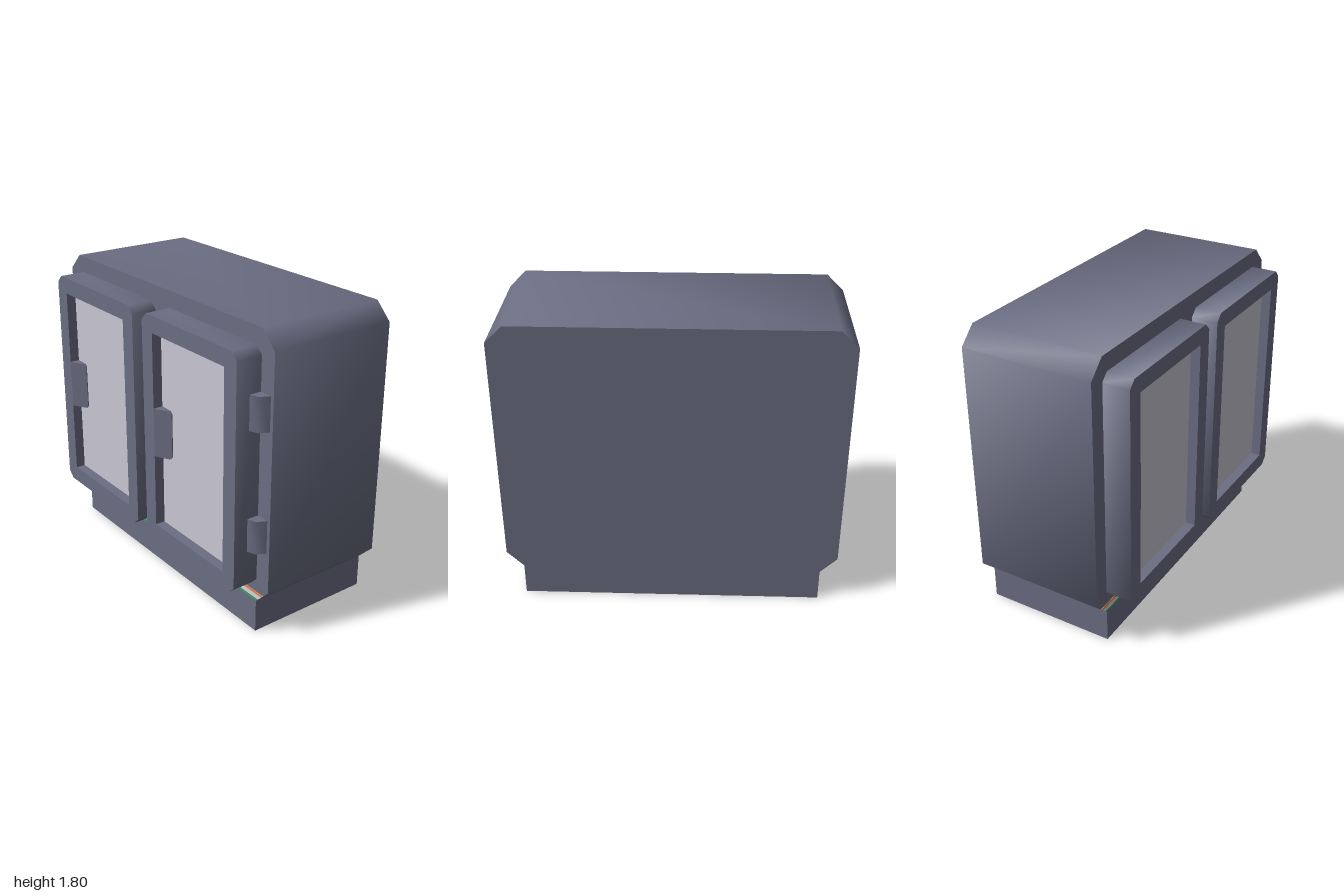
import * as THREE from 'three';
import { toCreasedNormals } from 'three/addons/utils/BufferGeometryUtils.js';

const BACK = -0.48, FRONT = 0.32, DOOR_FRONT = 0.48, GLASS_Z = 0.42;

function material(name, color) {
  const m = new THREE.MeshStandardMaterial({ color });
  m.name = name;
  return m;
}

function polygon(points) {
  return new THREE.Shape(points.map(([x, y]) => new THREE.Vector2(x, y)));
}

// Rectangle with cut corners
function chamferedRect(x0, x1, y0, y1, c) {
  return polygon([
    [x0 + c, y0], [x1 - c, y0], [x1, y0 + c], [x1, y1 - c],
    [x1 - c, y1], [x0 + c, y1], [x0, y1 - c], [x0, y0 + c],
  ]);
}

// Extrusion with soft 45 degree corners and sharp 90 degree ones
function extrude(shape, depth) {
  return toCreasedNormals(new THREE.ExtrudeGeometry(shape, { depth, bevelEnabled: false }), Math.PI / 3);
}

function add(parent, name, geometry, mat, x = 0, y = 0, z = 0) {
  const mesh = new THREE.Mesh(geometry, mat);
  mesh.name = name;
  mesh.position.set(x, y, z);
  parent.add(mesh);
  return mesh;
}

export function createModel() {
  const group = new THREE.Group();
  group.name = 'cabinet';
  const metal = material('slateMetal', 0x6b6e83);
  const glass = material('paleGlass', 0xc9c7d2);
  const orange = material('orangePaint', 0xdd8a55);
  const white = material('whitePaint', 0xd6d6dc);
  const green = material('greenPaint', 0x3f9a6c);
  const depth = FRONT - BACK;

  // Cabinet body and plinth
  add(group, 'body', extrude(chamferedRect(-1, 1, 0.2, 1.8, 0.1), depth), metal, 0, 0, BACK);
  add(group, 'base', new THREE.BoxGeometry(1.8, 0.2, depth), metal, 0, 0.1, (FRONT + BACK) / 2);

  // Painted stripes following the slanted lower corners
  const stripes = [
    ['greenStripe', 0.203, 0.22, green],
    ['whiteStripe', 0.22, 0.247, white],
    ['orangeStripe', 0.247, 0.263, orange],
  ];
  for (const [name, y0, y1, mat] of stripes) {
    const a = 0.7 + y0, b = 0.7 + y1;
    add(group, name, extrude(polygon([[-a, y0], [a, y0], [b, y1], [-b, y1]]), 0.003), mat, 0, 0, FRONT);
  }

  // Door frame with window opening, relative to the door centre
  const frameShape = chamferedRect(-0.425, 0.425, 0.3, 1.7, 0.043);
  frameShape.holes.push(polygon([[-0.325, 0.4], [-0.325, 1.6], [0.325, 1.6], [0.325, 0.4]]));
  const frameGeo = extrude(frameShape, DOOR_FRONT - FRONT);
  const glassGeo = new THREE.BoxGeometry(0.65, 1.2, 0.02);

  // Handle: plate sloping from the frame edge down to the glass
  const handleGeo = new THREE.ExtrudeGeometry(
    polygon([[0, 0.85], [0.085, 0.85], [0.1, 0.865], [0.1, 1.135], [0.085, 1.15], [0, 1.15]]),
    { depth: 1, bevelEnabled: false });
  const p = handleGeo.attributes.position;
  for (let i = 0; i < p.count; i++) {
    if (p.getZ(i) > 0.5) p.setZ(i, 0.06 - p.getX(i) * 0.55);
  }
  handleGeo.computeVertexNormals();

  // Hinge: faceted quarter round standing upright
  const hingeGeo = extrude(
    polygon([[0, -FRONT], [0.078, -FRONT], [0.052, -0.373], [0, -0.393]]), 0.2);
  hingeGeo.rotateX(-Math.PI / 2);

  for (const side of [-1, 1]) {
    const door = new THREE.Group();
    door.name = side > 0 ? 'leftDoor' : 'rightDoor';
    door.position.x = side * 0.475;
    group.add(door);
    add(door, 'doorFrame', frameGeo, metal, 0, 0, FRONT);
    add(door, 'window', glassGeo, glass, 0, 1, GLASS_Z - 0.01);
    add(door, 'handle', handleGeo, metal, -0.325, 0, GLASS_Z);
    for (const y of [0.545, 1.26]) add(door, 'hinge', hingeGeo, metal, 0.425, y, 0);
  }
  return group;
}
